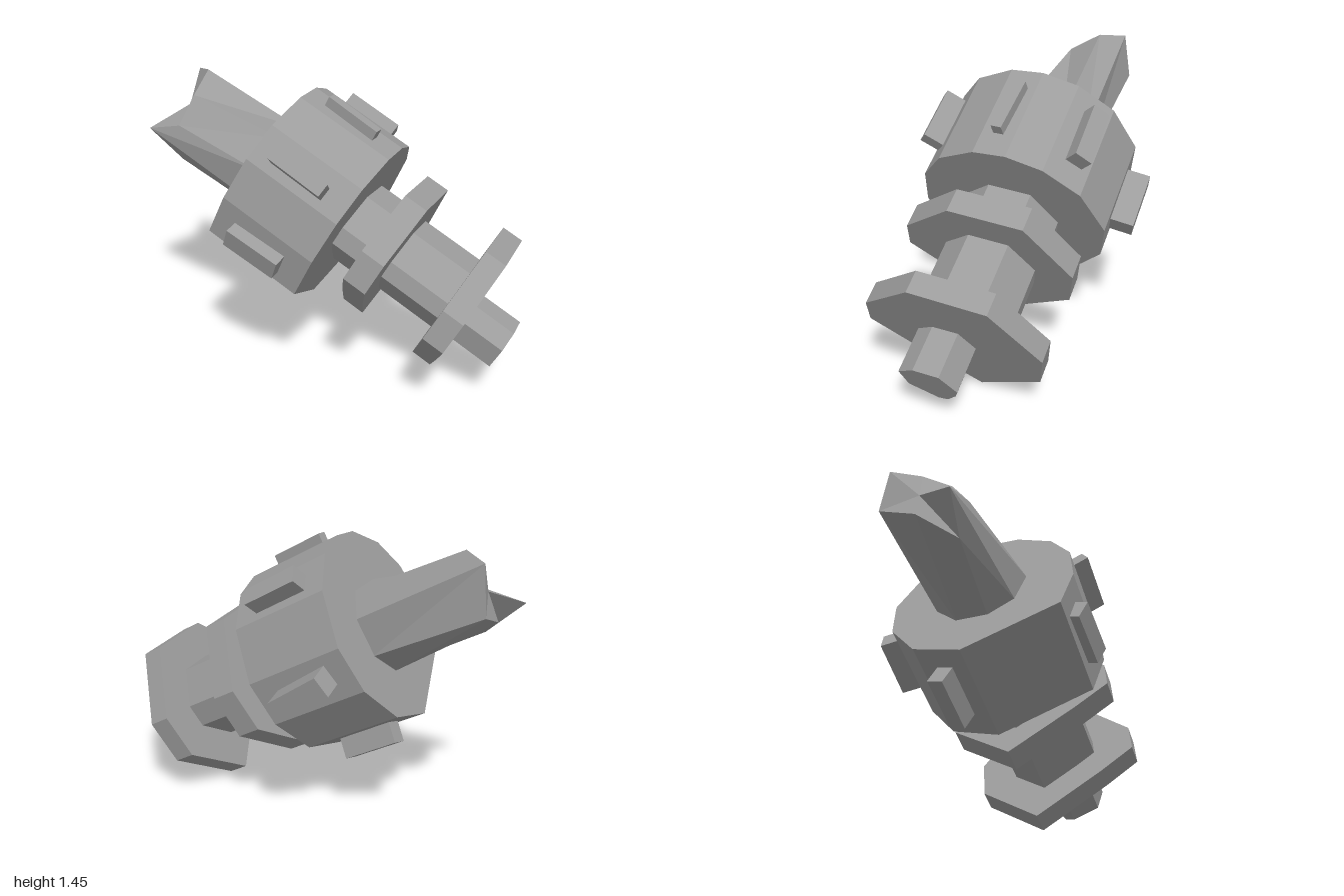
import * as THREE from 'three';

const material = new THREE.MeshStandardMaterial({ color: 0x9c9c9c, flatShading: true, side: THREE.DoubleSide });

// Outline shared by both flanges and the shafts
const flangeOutline = [
  [0.24, 0.366], [-0.148, 0.402], [-0.437, 0.175], [-0.473, 0.005],
  [-0.309, -0.158], [0.021, -0.449], [0.382, -0.225], [0.435, 0.012],
];

const knobOutline = [
  [0.028, 0.093], [-0.105, 0.097], [-0.198, 0.035], [-0.183, -0.092],
  [-0.045, -0.168], [0.006, -0.158], [0.068, -0.083], [0.09, -0.028],
];

// Straight prism along the axis, from z0 to z1
function prism(name, outline, z0, z1, scale = 1) {
  const shape = new THREE.Shape(outline.map(([x, y]) => new THREE.Vector2(x * scale, y * scale)));
  const geometry = new THREE.ExtrudeGeometry(shape, { depth: z1 - z0, bevelEnabled: false });
  geometry.translate(0, 0, z0);
  const mesh = new THREE.Mesh(geometry, material);
  mesh.name = name;
  return mesh;
}

const polar = (degrees, r) => {
  const a = THREE.MathUtils.degToRad(degrees);
  return [r * Math.cos(a), r * Math.sin(a)];
};

// Broken horn: a ring on the drum lofted to a jagged rim with a slightly hollow end
function hornGeometry() {
  const base = [-26, 21, 60, 115, 165, 212, 250, 290].map((a) => [...polar(a, 0.245), -0.26]);
  const rim = [
    [0.265, -0.13, -0.88], [0.235, 0.093, -0.97], [0.125, 0.176, -0.874], [-0.04, 0.09, -0.82],
    [-0.15, -0.05, -0.78], [-0.141, -0.18, -0.934], [-0.11, -0.235, -0.70], [0.07, -0.19, -0.85],
  ];
  const centre = [0.08, -0.04, -0.87];
  const points = [];
  for (let i = 0; i < rim.length; i++) {
    const j = (i + 1) % rim.length;
    points.push(base[i], rim[i], rim[j], base[i], rim[j], base[j], centre, rim[j], rim[i]);
  }
  const geometry = new THREE.BufferGeometry();
  geometry.setAttribute('position', new THREE.Float32BufferAttribute(points.flat(), 3));
  geometry.computeVertexNormals();
  return geometry;
}

export function createModel() {
  const model = new THREE.Group();
  model.name = 'assembly';

  // Main drum with uneven facets
  const drumOutline = [2, 35, 61, 83, 103, 130, 154, 181, 208, 270, 303, 334]
    .map((a) => polar(a, a === 208 ? 0.525 : 0.495));
  model.add(prism('drum', drumOutline, -0.27, 0.27));

  // Shafts, flanges and end knob
  model.add(prism('collar', flangeOutline, 0.26, 0.44, 0.57));
  model.add(prism('middleFlange', flangeOutline, 0.435, 0.563, 0.98));
  model.add(prism('shaft', flangeOutline, 0.55, 0.91, 0.53));
  model.add(prism('endFlange', flangeOutline, 0.905, 1.02));
  model.add(prism('endKnob', knobOutline, 1.0, 1.25));

  // Slightly skewed ribs around the drum: angle, outer radius, width, skew
  const ribs = [
    [144, 0.59, 0.07, 1], [92, 0.54, 0.055, 3], [46, 0.57, 0.095, -1],
    [-12, 0.60, 0.11, -6], [-74, 0.58, 0.09, 0], [197, 0.56, 0.11, -3],
  ];
  for (const [angle, outer, width, skew] of ribs) {
    const geometry = new THREE.BoxGeometry(0.18, width, 0.3);
    geometry.rotateX(THREE.MathUtils.degToRad(-skew));
    geometry.translate(outer - 0.09, 0, -0.01);
    geometry.rotateZ(THREE.MathUtils.degToRad(angle));
    const rib = new THREE.Mesh(geometry, material);
    rib.name = 'rib';
    model.add(rib);
  }

  const horn = new THREE.Mesh(hornGeometry(), material);
  horn.name = 'horn';
  model.add(horn);

  // Tilt the whole assembly along its axis
  const axis = new THREE.Vector3(1, -0.575, 0.37).normalize();
  const side = new THREE.Vector3(0, 1, 0).cross(axis).normalize();
  const up = axis.clone().cross(side);
  model.quaternion.setFromRotationMatrix(new THREE.Matrix4().makeBasis(side, up, axis));
  model.position.set(-0.1, 0.885, -0.075);

  const root = new THREE.Group();
  root.name = 'model';
  root.add(model);
  return root;
}
